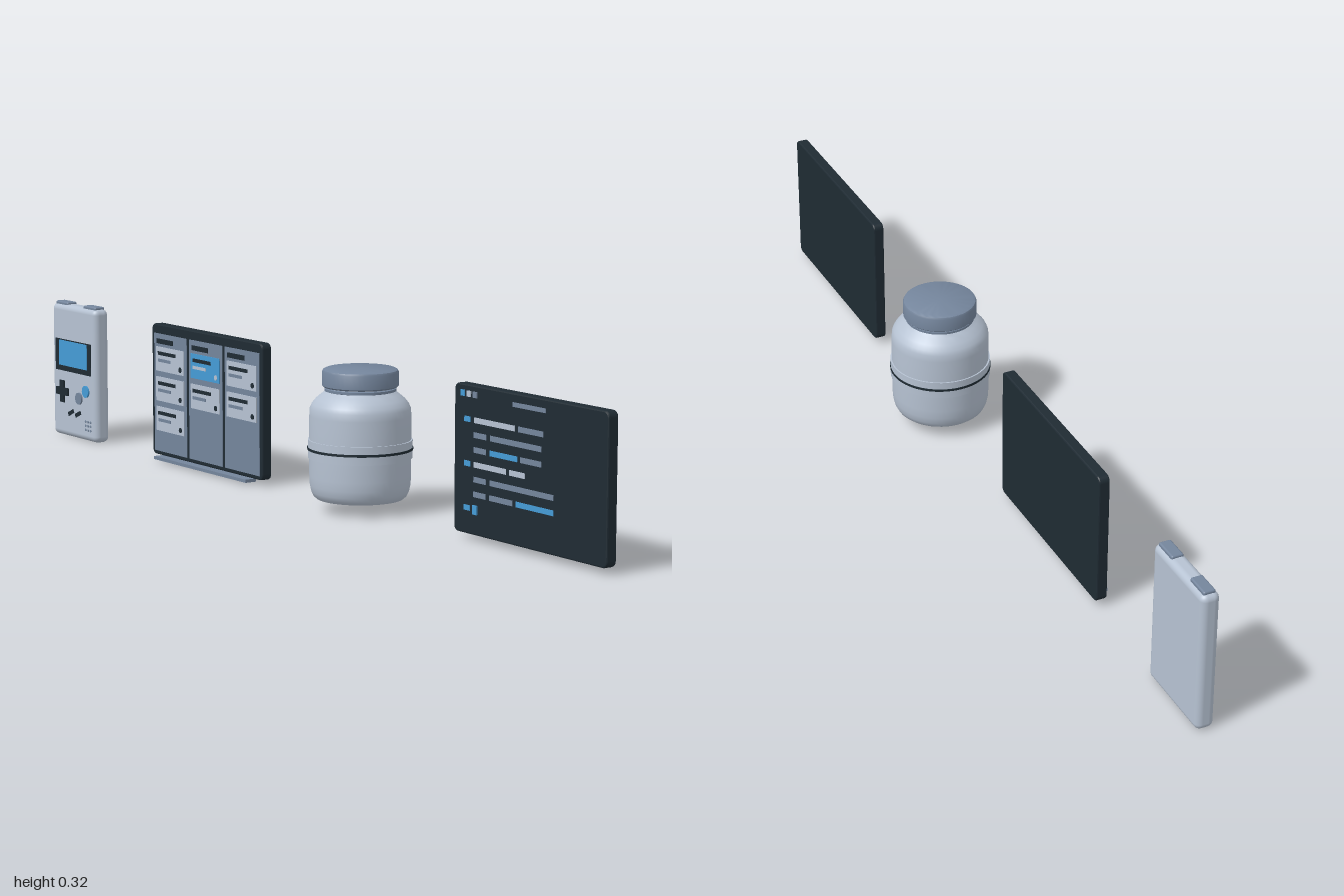
import * as THREE from 'three';
import { toCreasedNormals } from 'three/addons/utils/BufferGeometryUtils.js';
import { RoundedBoxGeometry } from 'three/addons/geometries/RoundedBoxGeometry.js';

const material = (name, color) => Object.assign(new THREE.MeshStandardMaterial({ color }), { name });
const pale = material('pale shell', 0xb6c2d2);
const slate = material('slate', 0x74859c);
const dark = material('dark slate', 0x1f2b33);
const blue = material('blue accent', 0x459bd6);

function add(parent, name, geometry, mat, x = 0, y = 0, z = 0) {
  const mesh = new THREE.Mesh(geometry, mat);
  mesh.name = name;
  mesh.position.set(x, y, z);
  parent.add(mesh);
  return mesh;
}

function group(parent, name, x = 0) {
  const g = new THREE.Group();
  g.name = name;
  g.position.x = x;
  parent.add(g);
  return g;
}

// Thin rectangle centred on x, y, spanning depth z0 to z1
function plate(parent, name, mat, x, y, w, h, z0, z1) {
  return add(parent, name, new THREE.BoxGeometry(w, h, z1 - z0), mat, x, y, (z0 + z1) / 2);
}

// Rounded, bevelled slab centred on z = 0
function slab(w, h, depth, r, bevel) {
  const x = w / 2 - bevel, y = h / 2 - bevel, s = new THREE.Shape();
  s.absarc(x - r, y - r, r, 0, Math.PI / 2);
  s.absarc(-x + r, y - r, r, Math.PI / 2, Math.PI);
  s.absarc(-x + r, -y + r, r, Math.PI, Math.PI * 1.5);
  s.absarc(x - r, -y + r, r, Math.PI * 1.5, Math.PI * 2);
  s.closePath();
  const g = new THREE.ExtrudeGeometry(s, {
    depth: depth - 2 * bevel, bevelThickness: bevel, bevelSize: bevel, bevelSegments: 2, curveSegments: 5,
  });
  return g.translate(0, 0, bevel - depth / 2);
}

function disc(parent, name, mat, x, y, r, z0, z1) {
  const g = new THREE.CylinderGeometry(r, r, z1 - z0, 20).rotateX(Math.PI / 2);
  return add(parent, name, g, mat, x, y, (z0 + z1) / 2);
}

function lathe(parent, name, mat, points) {
  const g = new THREE.LatheGeometry(points.map(([r, y]) => new THREE.Vector2(r, y)), 48);
  return add(parent, name, toCreasedNormals(g, 0.55), mat);
}

function handheld(root) {
  const g = group(root, 'handheldConsole', -0.902);
  const f = 0.02;
  add(g, 'consoleBody', new RoundedBoxGeometry(0.196, 0.314, 0.04, 4, 0.014), pale, 0, 0.158, 0);
  plate(g, 'screenBezel', dark, 0, 0.195, 0.16, 0.075, f - 0.002, f + 0.001);
  plate(g, 'screen', blue, 0, 0.2, 0.126, 0.06, f, f + 0.0018);
  // Direction pad
  plate(g, 'padAcross', dark, -0.049, 0.108, 0.052, 0.018, f - 0.002, f + 0.004);
  plate(g, 'padUpright', dark, -0.049, 0.108, 0.018, 0.052, f - 0.002, f + 0.004);
  // Action buttons
  disc(g, 'buttonA', blue, 0.057, 0.119, 0.014, f - 0.002, f + 0.004);
  disc(g, 'buttonB', slate, 0.026, 0.099, 0.014, f - 0.002, f + 0.004);
  // Slanted pill buttons
  for (const x of [-0.012, 0.02]) {
    const pill = plate(g, 'pillButton', dark, x, 0.061, 0.025, 0.009, f - 0.002, f + 0.002);
    pill.rotation.z = 0.42;
  }
  // Speaker holes
  for (let i = 0; i < 3; i++) for (let j = 0; j < 3; j++)
    disc(g, 'speakerHole', slate, 0.053 + i * 0.011, 0.028 + j * 0.01, 0.003, f - 0.001, f + 0.001);
  // Shoulder buttons on the top edge
  for (const x of [-0.062, 0.062])
    add(g, 'shoulderButton', new RoundedBoxGeometry(0.054, 0.014, 0.026, 2, 0.004), slate, x, 0.313, 0);
}

function taskBoard(root) {
  const g = group(root, 'taskBoard', -0.348);
  const f = 0.012;
  add(g, 'boardFrame', slab(0.44, 0.298, 0.024, 0.01, 0.003), dark, 0, 0.161, 0);
  add(g, 'tray', new THREE.BoxGeometry(0.368, 0.007, 0.028), slate, 0, 0.0085, 0.018);
  [3, 2, 2].forEach((count, c) => {
    const x = (c - 1) * 0.143;
    plate(g, 'column', slate, x, 0.155, 0.133, 0.268, f - 0.002, f + 0.001);
    plate(g, 'columnTitle', dark, x - 0.022, 0.272, 0.066, 0.011, f, f + 0.002);
    for (let i = 0; i < count; i++) {
      const y = 0.232 - i * 0.068;
      const active = c === 1 && i === 0;
      plate(g, 'card', active ? blue : pale, x, y, 0.114, 0.055, f, f + 0.0028);
      plate(g, 'cardLine', dark, x - 0.012, y + 0.013, 0.072, 0.008, f + 0.001, f + 0.0036);
      plate(g, 'cardLine', active ? pale : slate, x - 0.022, y - 0.003, 0.052, 0.007, f + 0.001, f + 0.0036);
      disc(g, 'cardDot', active ? pale : dark, x + 0.043, y - 0.016, 0.006, f + 0.001, f + 0.0036);
    }
  });
}

function jar(root) {
  const g = group(root, 'jar', 0.21);
  lathe(g, 'jarBody', pale, [
    [0, 0.027], [0.09, 0.027], [0.096, 0.032], [0.101, 0.042], [0.104, 0.056], [0.105, 0.075],
    [0.105, 0.2], [0.104, 0.215], [0.1, 0.224], [0.092, 0.234], [0.08, 0.244], [0.073, 0.249],
    [0.07, 0.252], [0.07, 0.264],
  ]);
  lathe(g, 'neckRing', slate, [[0.068, 0.249], [0.074, 0.251], [0.074, 0.256], [0.068, 0.258]]);
  lathe(g, 'labelBand', pale, [[0.104, 0.112], [0.108, 0.112], [0.108, 0.15], [0.104, 0.15]]);
  lathe(g, 'stripe', dark, [[0.106, 0.129], [0.1092, 0.129], [0.1092, 0.134], [0.106, 0.134]]);
  lathe(g, 'lid', slate, [
    [0, 0.259], [0.076, 0.259], [0.079, 0.262], [0.079, 0.29], [0.077, 0.294], [0.071, 0.297], [0, 0.297],
  ]);
}

function terminal(root) {
  const g = group(root, 'terminalScreen');
  const f = 0.012;
  add(g, 'terminalPanel', slab(0.458, 0.296, 0.024, 0.01, 0.003), dark, 0.767, 0.161, 0);
  // Title bar
  [blue, pale, slate].forEach((m, i) => plate(g, 'windowDot', m, 0.565 + i * 0.019, 0.291, 0.012, 0.012, f - 0.001, f + 0.002));
  plate(g, 'titleBar', slate, 0.767, 0.287, 0.098, 0.009, f - 0.001, f + 0.001);
  // Rows of [start, end, material]
  const rows = [
    [[0.57, 0.589, blue], [0.6, 0.725, pale], [0.735, 0.81, slate]],
    [[0.6, 0.638, slate], [0.65, 0.805, slate]],
    [[0.6, 0.638, slate], [0.65, 0.733, blue], [0.742, 0.805, slate]],
    [[0.57, 0.589, blue], [0.6, 0.7, pale], [0.71, 0.757, pale]],
    [[0.6, 0.638, slate], [0.65, 0.842, slate]],
    [[0.6, 0.638, slate], [0.65, 0.72, slate], [0.73, 0.842, blue]],
    [[0.57, 0.589, blue]],
  ];
  rows.forEach((row, i) => row.forEach(([a, b, m]) =>
    plate(g, 'textBar', m, (a + b) / 2, 0.241 - i * 0.0293, b - a, 0.011, f - 0.001, f + 0.001)));
  plate(g, 'cursor', blue, 0.607, 0.064, 0.013, 0.018, f - 0.001, f + 0.004);
}

export function createModel() {
  const root = new THREE.Group();
  root.name = 'deskObjects';
  handheld(root);
  taskBoard(root);
  jar(root);
  terminal(root);
  return root;
}
